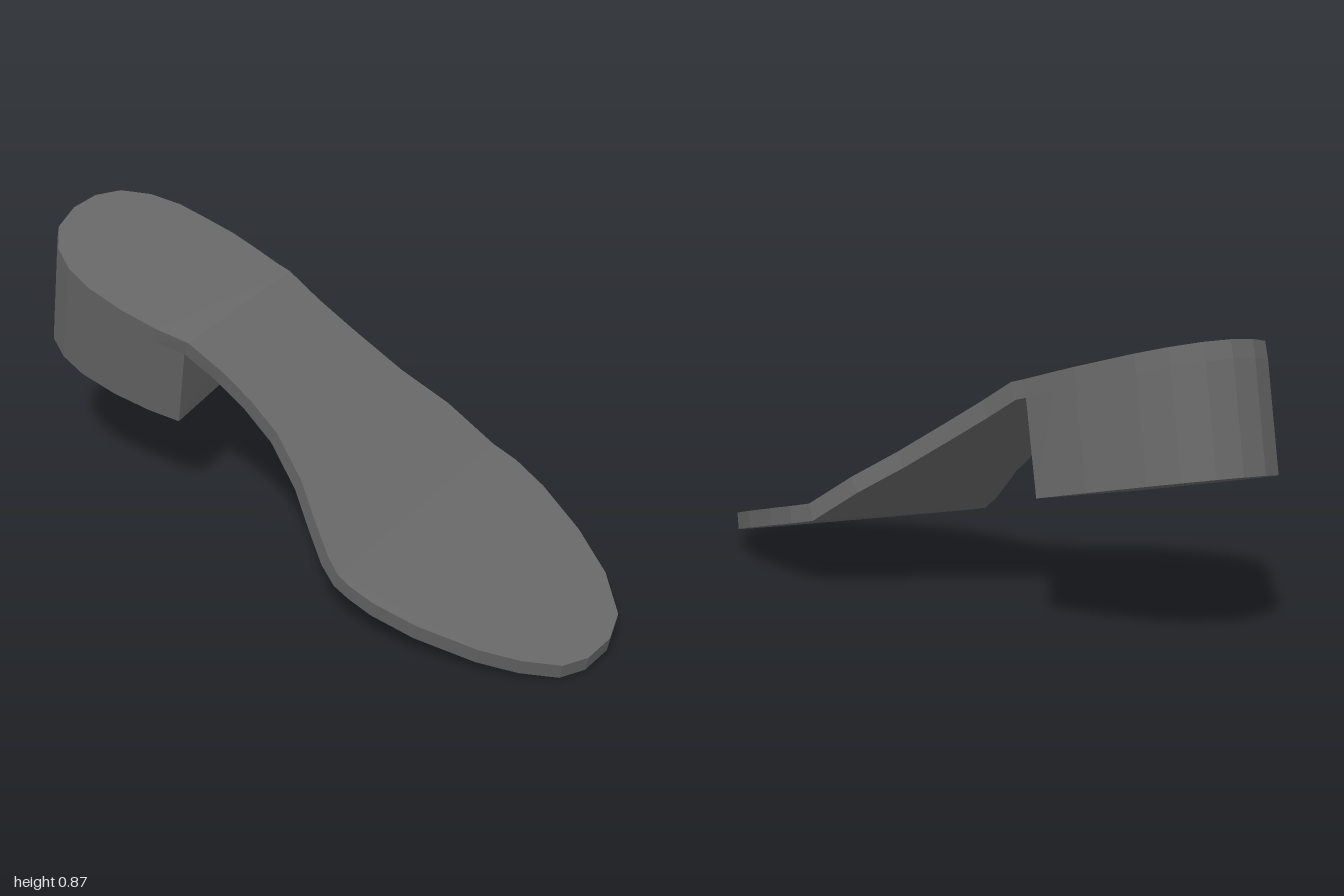
import * as THREE from 'three';

const material = new THREE.MeshStandardMaterial({ color: 0x666666, flatShading: true });
const THICKNESS = 0.052;

// Tilted planes y = a + b*x + c*z for the upper side of each region
const TOE = [0.308, 0.096, -0.26];
const ARCH = [0.454, 0.04, -0.698];
const SEAT = [0.573, 0.083, -0.345];
const HEEL_BASE = [0.258, 0.09, -0.27];

const onPlane = ([a, b, c], x, z) => new THREE.Vector3(x, a + b * x + c * z, z);
const normalOf = ([, b, c]) => new THREE.Vector3(-b, 1, -c).normalize();

// Outline pieces (x, z), counter-clockwise seen from above
const archRight = [[0.35, 0.13], [0.28, 0], [0.22, -0.15], [0.18, -0.26]];
const seatEdge = [[0.143, -0.4], [0.125, -0.5], [0.11, -0.57], [0.08, -0.66], [0.05, -0.745],
  [0, -0.825], [-0.07, -0.885], [-0.15, -0.908], [-0.24, -0.9], [-0.33, -0.86], [-0.388, -0.79],
  [-0.412, -0.71], [-0.412, -0.62], [-0.385, -0.5], [-0.345, -0.39]];
const archLeft = [[-0.26, -0.2], [-0.235, -0.1], [-0.225, 0], [-0.25, 0.13], [-0.29, 0.23], [-0.323, 0.32]];
const toeEdge = [[-0.33, 0.42], [-0.32, 0.5], [-0.28, 0.63], [-0.2, 0.795], [-0.13, 0.895], [-0.05, 0.975],
  [0.03, 1], [0.13, 0.99], [0.215, 0.945], [0.3, 0.82], [0.36, 0.66], [0.4, 0.48], [0.41, 0.36]];

// Points on one plane, with matching points pushed down through the thickness
function region(plane, edge) {
  const n = normalOf(plane);
  return edge.map(([x, z]) => {
    const top = onPlane(plane, x, z);
    return { top, bottom: top.clone().addScaledVector(n, -THICKNESS) };
  });
}

// Mitred point on the fold between two planes
function fold(p, q, x, z) {
  const top = onPlane(p, x, z).add(onPlane(q, x, z)).multiplyScalar(0.5);
  const n = normalOf(p);
  const mid = n.clone().add(normalOf(q)).normalize();
  return { top, bottom: top.clone().addScaledVector(mid, -THICKNESS / mid.dot(n)) };
}

// Cap a loop of points; flip makes it face downward
function cap(out, loop, flip) {
  const flat = loop.map((p) => new THREE.Vector2(p.x, -p.z));
  for (const [i, j, k] of THREE.ShapeUtils.triangulateShape(flat, [])) {
    out.push(loop[i], loop[flip ? k : j], loop[flip ? j : k]);
  }
}

// Side wall around a closed loop of top/bottom pairs
function wall(out, ring) {
  ring.forEach((p, i) => {
    const q = ring[(i + 1) % ring.length];
    out.push(p.bottom, q.bottom, q.top, p.bottom, q.top, p.top);
  });
}

function makeMesh(name, points) {
  const geometry = new THREE.BufferGeometry().setFromPoints(points);
  geometry.computeVertexNormals();
  const mesh = new THREE.Mesh(geometry, material);
  mesh.name = name;
  return mesh;
}

export function createModel() {
  const group = new THREE.Group();
  group.name = 'shoeSole';

  // Folds at the ball of the foot and in front of the heel
  const ballRight = fold(TOE, ARCH, 0.4, 0.275);
  const ballLeft = fold(TOE, ARCH, -0.33, 0.37);
  const heelRight = fold(ARCH, SEAT, 0.153, -0.36);
  const heelLeft = fold(ARCH, SEAT, -0.3, -0.3);

  const toe = region(TOE, toeEdge);
  const right = region(ARCH, archRight);
  const left = region(ARCH, archLeft);
  const seat = region(SEAT, seatEdge);

  // Sole: three flat regions sharing one continuous edge wall
  const sole = [];
  for (const loop of [
    [ballLeft, ...toe, ballRight],
    [ballRight, ...right, heelRight, heelLeft, ...left, ballLeft],
    [heelRight, ...seat, heelLeft],
  ]) {
    cap(sole, loop.map((p) => p.top), false);
    cap(sole, loop.map((p) => p.bottom), true);
  }
  wall(sole, [...toe, ballRight, ...right, heelRight, ...seat, heelLeft, ...left, ballLeft]);
  group.add(makeMesh('sole', sole));

  // Heel block: leans back from the seat, with a flat front face
  const block = [...seat, heelLeft].map(({ top, bottom }) => ({
    top: bottom,
    bottom: onPlane(HEEL_BASE, top.x + 0.028, top.z - 0.092),
  }));
  const heel = [];
  wall(heel, block);
  cap(heel, block.map((p) => p.bottom), true);
  group.add(makeMesh('heel', heel));

  return group;
}
